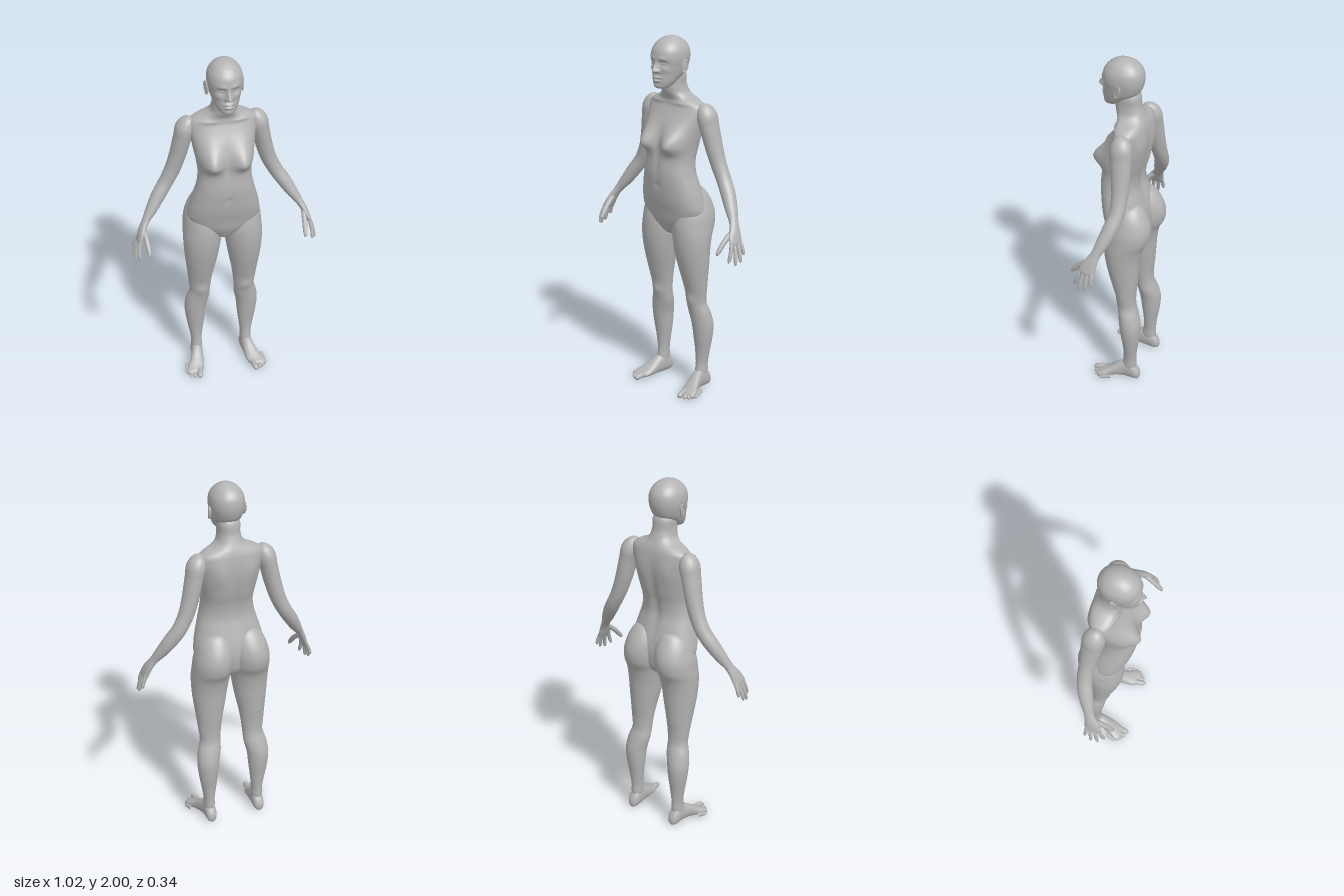
import * as THREE from 'three';

// Smooth interpolation of rows of numbers (non-uniform Catmull-Rom)
function spline(rows, per) {
  const d = [0];
  for (let i = 1; i < rows.length; i++) {
    d.push(d[i - 1] + Math.hypot(...rows[i].map((v, k) => v - rows[i - 1][k])));
  }
  const slope = (i, k) => (rows[i + 1][k] - rows[i][k]) / (d[i + 1] - d[i]);
  const last = rows.length - 1;
  const tangent = (i, k) => {
    if (i === 0) return slope(0, k);
    if (i === last) return slope(last - 1, k);
    const a = d[i] - d[i - 1], b = d[i + 1] - d[i];
    return (slope(i - 1, k) * b + slope(i, k) * a) / (a + b);
  };
  const out = [];
  for (let i = 0; i < last; i++) {
    for (let s = 0; s < per; s++) {
      const t = s / per, t2 = t * t, t3 = t2 * t, h = d[i + 1] - d[i];
      out.push(rows[i].map((v, k) =>
        (2 * t3 - 3 * t2 + 1) * v + (t3 - 2 * t2 + t) * h * tangent(i, k) +
        (3 * t2 - 2 * t3) * rows[i + 1][k] + (t3 - t2) * h * tangent(i + 1, k)));
    }
  }
  out.push(rows[last].slice());
  return out;
}

// Closed skin over rings; point(i, angle) gives a position
function skin(rings, sides, point) {
  const pos = [], idx = [];
  for (let i = 0; i < rings; i++) {
    for (let j = 0; j < sides; j++) {
      pos.push(...point(i, (j / sides) * Math.PI * 2));
      if (i === rings - 1) continue;
      const a = i * sides + j, b = i * sides + ((j + 1) % sides);
      idx.push(a, a + sides, b, b, a + sides, b + sides);
    }
  }
  const geo = new THREE.BufferGeometry();
  geo.setAttribute('position', new THREE.Float32BufferAttribute(pos, 3));
  geo.setIndex(idx);
  geo.computeVertexNormals();
  return geo;
}

// Loft of rows [t, centre, halfWidth, high, low]; bumps push the front (+1) or back (-1):
// [x, y, spreadX, spreadUp, spreadDown, amount, side]
function loft(rows, { per = 5, sides = 40, n = 2, alongZ = false, bumps = [] } = {}) {
  const r = spline(rows, per);
  const pow = v => Math.sign(v) * Math.abs(v) ** (2 / n);
  return skin(r.length, sides, (i, th) => {
    const [t, c, w, hi, lo] = r[i];
    const x = c + Math.max(w, 0) * pow(Math.cos(th));
    let b = (hi + lo) / 2 + ((hi - lo) / 2) * pow(Math.sin(th));
    for (const [bx, by, sx, up, dn, amt, side] of bumps) {
      const dy = (t - by) / (t > by ? up : dn), dx = (Math.abs(x) - bx) / sx;
      const facing = THREE.MathUtils.smoothstep(Math.sin(th) * side, 0, 0.35);
      b += side * amt * facing * Math.exp(-dx * dx - dy * dy);
    }
    return alongZ ? [x, b, t] : [x, t, b];
  });
}

// Limb along points [x, y, z, radiusAcross, radiusAlongRef]
function limb(points, per = 6, sides = 24, ref = new THREE.Vector3(0, 0, 1)) {
  const r = spline(points, per);
  const p = r.map(q => new THREE.Vector3(q[0], q[1], q[2]));
  return skin(r.length, sides, (i, th) => {
    const T = p[Math.min(i + 1, p.length - 1)].clone().sub(p[Math.max(i - 1, 0)]).normalize();
    const u = ref.clone().cross(T).normalize(), v = u.clone().cross(T);
    return p[i].clone()
      .addScaledVector(u, Math.max(r[i][3], 0) * Math.cos(th))
      .addScaledVector(v, Math.max(r[i][4], 0) * Math.sin(th)).toArray();
  });
}

// Finger or toe through three joints, with a rounded tip
function digit(a, m, b, r, ref) {
  const mix = (t) => b.map((v, k) => m[k] + (v - m[k]) * t);
  return limb([[...a, r, r], [...m, r, r], [...mix(0.7), r * 0.85, r * 0.85],
    [...mix(0.93), r * 0.55, r * 0.55], [...b, 0, 0]], 4, 12, ref);
}

function mirrored(geo) {
  const g = geo.clone();
  g.scale(-1, 1, 1);
  const ix = g.index.array;
  for (let i = 0; i < ix.length; i += 3) [ix[i], ix[i + 1]] = [ix[i + 1], ix[i]];
  g.computeVertexNormals();
  return g;
}

export function createModel() {
  const model = new THREE.Group();
  model.name = 'standingFigure';
  const clay = new THREE.MeshStandardMaterial({ color: 0xb4b4b4 });
  clay.name = 'greyClay';
  const add = (name, geo) => {
    const m = new THREE.Mesh(geo, clay);
    m.name = name;
    model.add(m);
  };
  const pair = (name, geo) => {
    add('left' + name, geo);
    add('right' + name, mirrored(geo));
  };

  // Torso and neck
  add('torsoAndNeck', loft([
    [0.905, 0, 0, 0.0, -0.02], [0.92, 0, 0.05, 0.045, -0.08], [0.96, 0, 0.11, 0.07, -0.11],
    [1.0, 0, 0.165, 0.088, -0.12], [1.06, 0, 0.198, 0.102, -0.125], [1.12, 0, 0.192, 0.118, -0.118],
    [1.2, 0, 0.172, 0.13, -0.098], [1.27, 0, 0.153, 0.136, -0.082], [1.34, 0, 0.143, 0.131, -0.087],
    [1.41, 0, 0.149, 0.119, -0.105], [1.48, 0, 0.162, 0.106, -0.116], [1.54, 0, 0.172, 0.088, -0.12],
    [1.6, 0, 0.18, 0.06, -0.118], [1.635, 0, 0.176, 0.045, -0.113], [1.66, 0, 0.142, 0.042, -0.106],
    [1.68, 0, 0.095, 0.048, -0.098], [1.7, 0, 0.071, 0.058, -0.089], [1.74, 0, 0.06, 0.065, -0.074],
    [1.8, 0, 0.058, 0.055, -0.066], [1.84, 0, 0.03, 0.03, -0.04],
  ], {
    per: 6, sides: 80, n: 2.25, bumps: [
      [0.088, 1.435, 0.058, 0.08, 0.045, 0.064, 1],     // chest
      [0.09, 1.648, 0.06, 0.01, 0.01, 0.006, 1],        // collarbones
      [0, 1.21, 0.01, 0.014, 0.014, -0.009, 1],         // navel
      [0, 1.35, 0.014, 0.1, 0.1, -0.006, 1],            // midline
      [0, 1.36, 0.025, 0.2, 0.2, -0.014, -1],           // spine
      [0.09, 1.54, 0.04, 0.06, 0.07, 0.008, -1],        // shoulder blades
    ],
  }));

  // Head and face
  add('head', loft([
    [1.731, 0, 0, 0.105, 0.095], [1.738, 0, 0.036, 0.125, 0.055], [1.76, 0, 0.055, 0.13, 0.015],
    [1.79, 0, 0.069, 0.131, -0.03], [1.82, 0, 0.079, 0.129, -0.065], [1.85, 0, 0.086, 0.13, -0.079],
    [1.89, 0, 0.092, 0.134, -0.087], [1.93, 0, 0.088, 0.128, -0.083], [1.96, 0, 0.073, 0.109, -0.066],
    [1.985, 0, 0.047, 0.077, -0.036], [1.996, 0, 0.024, 0.05, -0.01], [2.0, 0, 0, 0.022, 0.018],
  ], {
    per: 12, sides: 128, n: 2.15, bumps: [
      [0, 1.831, 0.012, 0.028, 0.009, 0.034, 1],        // nose
      [0, 1.866, 0.011, 0.02, 0.02, 0.006, 1],          // bridge
      [0.014, 1.828, 0.008, 0.01, 0.008, 0.012, 1],     // nostrils
      [0.036, 1.869, 0.019, 0.012, 0.013, -0.014, 1],   // eye sockets
      [0.036, 1.868, 0.012, 0.006, 0.007, 0.009, 1],    // eyelids
      [0.032, 1.894, 0.024, 0.012, 0.008, 0.005, 1],    // brows
      [0.052, 1.835, 0.02, 0.016, 0.02, 0.006, 1],      // cheekbones
      [0, 1.794, 0.021, 0.008, 0.004, 0.014, 1],        // upper lip
      [0, 1.778, 0.018, 0.004, 0.007, 0.013, 1],        // lower lip
      [0, 1.748, 0.02, 0.012, 0.012, 0.005, 1],         // chin
    ],
  }));

  // Ears: a flat lobe with a raised rim
  const place = g => g.rotateX(-0.2).rotateY(-0.3).translate(0.092, 1.848, 0.018);
  pair('Ear', place(new THREE.SphereGeometry(1, 20, 14).scale(0.008, 0.034, 0.018)));
  pair('EarRim', place(new THREE.TorusGeometry(0.017, 0.004, 8, 28)
    .rotateY(Math.PI / 2).scale(1, 1.8, 1).translate(0.005, 0, 0)));

  // Legs, with the seat at the top
  pair('Leg', loft([
    [0.04, 0.147, 0, -0.06, -0.08], [0.06, 0.147, 0.026, -0.035, -0.108], [0.09, 0.147, 0.031, -0.03, -0.113],
    [0.14, 0.147, 0.031, -0.037, -0.112], [0.22, 0.149, 0.042, -0.037, -0.118], [0.3, 0.151, 0.054, -0.027, -0.13],
    [0.39, 0.15, 0.062, -0.015, -0.134], [0.46, 0.138, 0.065, -0.006, -0.118], [0.52, 0.128, 0.058, 0.004, -0.1],
    [0.58, 0.128, 0.064, 0.012, -0.098], [0.66, 0.126, 0.074, 0.035, -0.105], [0.76, 0.122, 0.09, 0.062, -0.112],
    [0.85, 0.118, 0.101, 0.08, -0.12], [0.92, 0.114, 0.107, 0.086, -0.137], [0.97, 0.11, 0.108, 0.086, -0.163],
    [1.03, 0.106, 0.107, 0.078, -0.172], [1.08, 0.1, 0.1, 0.065, -0.162], [1.13, 0.095, 0.085, 0.04, -0.138],
    [1.17, 0.092, 0.055, 0.0, -0.108], [1.19, 0.09, 0, -0.05, -0.07],
  ], { sides: 48, bumps: [[0.128, 0.54, 0.03, 0.03, 0.03, 0.008, 1]] }));

  // Feet, from toes to heel
  pair('Foot', loft([
    [0.108, 0.19, 0, 0.018, 0.012], [0.095, 0.19, 0.042, 0.032, 0.004], [0.07, 0.182, 0.049, 0.044, 0.002],
    [0.03, 0.167, 0.043, 0.068, 0.002], [-0.02, 0.154, 0.035, 0.103, 0.004], [-0.06, 0.148, 0.032, 0.118, 0.002],
    [-0.1, 0.147, 0.032, 0.1, 0], [-0.128, 0.147, 0.022, 0.062, 0.006], [-0.137, 0.147, 0, 0.035, 0.025],
  ], { sides: 32, alongZ: true, n: 2.2 }));
  const up = new THREE.Vector3(0, 1, 0);
  [[0.157, 0.169, 0.142, 0.016], [0.182, 0.196, 0.129, 0.0115], [0.198, 0.214, 0.116, 0.011],
    [0.211, 0.227, 0.1, 0.0105], [0.222, 0.236, 0.08, 0.01]].forEach(([x0, x1, z, r], i) =>
    pair('Toe' + (i + 1), digit([x0, 0.026, z - 0.065], [(x0 + x1) / 2, r + 0.006, z - 0.03], [x1, r * 0.9, z], r, up)));

  // Arms with palms
  pair('Arm', limb([
    [0.163, 1.652, -0.04, 0, 0], [0.172, 1.638, -0.04, 0.03, 0.034], [0.193, 1.595, -0.045, 0.051, 0.058],
    [0.21, 1.53, -0.05, 0.048, 0.058], [0.236, 1.42, -0.06, 0.045, 0.05], [0.265, 1.33, -0.066, 0.042, 0.043],
    [0.305, 1.25, -0.065, 0.039, 0.041], [0.345, 1.19, -0.05, 0.038, 0.041], [0.39, 1.12, -0.025, 0.031, 0.035],
    [0.43, 1.06, 0, 0.02, 0.028], [0.447, 1.03, 0.012, 0.018, 0.034], [0.464, 0.99, 0.028, 0.016, 0.044],
    [0.475, 0.962, 0.034, 0.012, 0.042], [0.479, 0.95, 0.036, 0, 0.02],
  ], 6, 32));

  // Fingers and thumbs
  [['IndexFinger', 0.068, 0.48, 0.878, 0.1], ['MiddleFinger', 0.046, 0.502, 0.86, 0.068],
    ['RingFinger', 0.022, 0.507, 0.87, 0.032], ['LittleFinger', 0.001, 0.499, 0.902, -0.004]]
    .forEach(([name, z0, x, y, z]) =>
      pair(name, digit([0.467, 0.985, z0 * 0.9], [(0.482 + x) / 2, (0.965 + y) / 2, (z0 + z) / 2], [x, y, z], 0.0105)));
  pair('Thumb', digit([0.443, 1.025, 0.03], [0.436, 0.972, 0.092], [0.431, 0.918, 0.138], 0.0135));

  return model;
}
